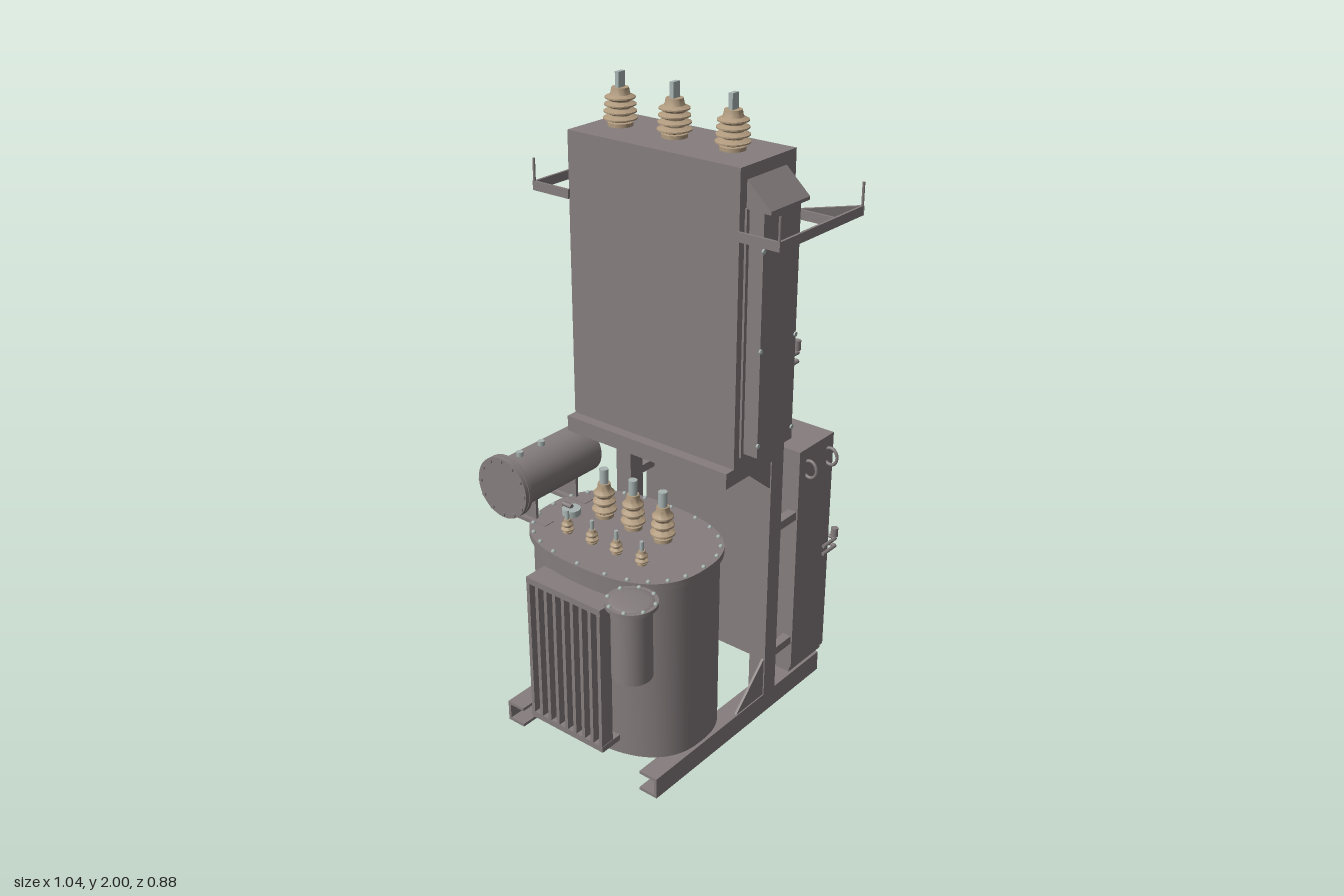
import * as THREE from 'three';
import { toCreasedNormals } from 'three/addons/utils/BufferGeometryUtils.js';

const mat = (name, color) => {
  const m = new THREE.MeshStandardMaterial({ color });
  m.name = name;
  return m;
};

export function createModel() {
  const root = new THREE.Group();
  root.name = 'transformerSubstation';
  const grey = mat('paintedGrey', 0x857d7e);
  const beige = mat('ceramicBeige', 0xb09a7e);
  const metal = mat('bareMetal', 0xa8b4b2);
  const yellow = mat('signYellow', 0xc4bb28);
  const black = mat('signBlack', 0x1e1e1e);

  const add = (name, geo, m, x = 0, y = 0, z = 0) => {
    const mesh = new THREE.Mesh(geo, m);
    mesh.name = name;
    mesh.position.set(x, y, z);
    root.add(mesh);
    return mesh;
  };
  // box given by its limits
  const box = (name, m, x0, x1, y0, y1, z0, z1) =>
    add(name, new THREE.BoxGeometry(x1 - x0, y1 - y0, z1 - z0), m, (x0 + x1) / 2, (y0 + y1) / 2, (z0 + z1) / 2);
  const cyl = (name, m, r, h, x, y, z, axis = 'y', seg = 24) => {
    const g = new THREE.CylinderGeometry(r, r, h, seg);
    if (axis === 'x') g.rotateZ(Math.PI / 2);
    if (axis === 'z') g.rotateX(Math.PI / 2);
    return add(name, g, m, x, y, z);
  };
  const poly = (pts) => new THREE.Shape(pts.map(([x, y]) => new THREE.Vector2(x, y)));
  const prism = (pts, depth) => new THREE.ExtrudeGeometry(poly(pts), { depth, bevelEnabled: false });
  // rod between two points
  const rod = (name, m, a, b, r) => {
    const p = new THREE.Vector3(...a), q = new THREE.Vector3(...b);
    const mesh = add(name, new THREE.CylinderGeometry(r, r, p.distanceTo(q), 8), m);
    mesh.position.copy(p).add(q).multiplyScalar(0.5);
    mesh.quaternion.setFromUnitVectors(new THREE.Vector3(0, 1, 0), q.sub(p).normalize());
    return mesh;
  };

  // frame: channel rails, posts, gussets, arms to the lower cabinet
  for (const s of [1, -1]) {
    const span = (name, x0, x1, y0, y1, a, b) =>
      box(name, grey, x0, x1, y0, y1, Math.min(s * a, s * b), Math.max(s * a, s * b));
    span('railWeb', -0.4, 0.45, 0, 0.07, 0.295, 0.305);
    span('railTopFlange', -0.4, 0.45, 0.06, 0.07, 0.24, 0.3);
    span('railBottomFlange', -0.4, 0.45, 0, 0.01, 0.24, 0.3);
    span('post', 0.14, 0.2, 0.07, 0.91, 0.245, 0.305);
    span('topBeam', -0.085, 0.2, 0.91, 0.96, 0.245, 0.305);
    for (const y of [0.185, 0.645]) span('cabinetArm', 0.18, 0.295, y, y + 0.028, 0.27, 0.3);
    const z = s * 0.297 - 0.004;
    add('lowerGusset', prism([[0, 0.07], [0.14, 0.07], [0.14, 0.205]], 0.008), grey, 0, 0, z);
    add('upperGusset', prism([[0.03, 0.91], [0.14, 0.82], [0.14, 0.91]], 0.008), grey, 0, 0, z);
  }
  box('rearCrossBeam', grey, -0.085, -0.03, 0.91, 0.96, -0.305, 0.305);
  box('frontCrossBeam', grey, 0.15, 0.2, 0.88, 0.96, -0.305, 0.305);

  // warning triangle, lock, latch and hinges on a door facing +x
  const doorDetails = (x, signY, lockY, lockZ, handleY, hingeZ, hingeYs) => {
    const tri = prism([[-0.085, 0], [0.085, 0], [0, 0.152]], 0.002).rotateY(Math.PI / 2);
    add('warningTriangle', tri, yellow, x, signY, 0);
    box('signBaseLine', black, x, x + 0.003, signY - 0.008, signY, -0.088, 0.088);
    box('signMark', black, x, x + 0.003, signY + 0.058, signY + 0.072, -0.003, 0.003);
    box('signTip', black, x, x + 0.003, signY + 0.145, signY + 0.154, -0.004, 0.004);
    const lock = cyl('lockPlate', metal, 0.02, 0.008, x + 0.002, lockY, lockZ, 'x');
    lock.scale.y = 1.25;
    for (const y of [handleY, handleY + 0.028]) {
      rod('latchBar', grey, [x + 0.012, y, 0.22], [x + 0.012, y, 0.31], 0.006);
      rod('latchArm', grey, [x + 0.012, y, 0.31], [x - 0.06, y, 0.31], 0.006);
    }
    cyl('latchKnob', grey, 0.012, 0.03, x + 0.012, handleY + 0.05, 0.305);
    for (const y of hingeYs) cyl('hinge', grey, 0.009, 0.08, x - 0.012, y, hingeZ, 'y', 10);
  };

  // upper cabinet with door
  box('upperCabinet', grey, -0.05, 0.205, 0.96, 1.845, -0.305, 0.305);
  box('upperCabinetFace', grey, 0.205, 0.212, 0.975, 1.83, -0.295, 0.295);
  box('upperDoor', grey, 0.212, 0.235, 1.05, 1.437, -0.248, 0.245);
  doorDetails(0.235, 1.172, 1.27, 0.208, 1.2, -0.258, [1.1, 1.37]);

  // cable duct with a sloping hood on the front of the upper cabinet
  box('cableDuct', grey, -0.015, 0.155, 1.0, 1.73, 0.305, 0.36);
  for (const x of [-0.015, 0.15]) {
    box('ductFlange', grey, x - 0.012, x + 0.015, 0.99, 1.73, 0.305, 0.312);
    for (const y of [1.04, 1.33, 1.62]) cyl('ductBolt', metal, 0.007, 0.006, x, y, 0.362, 'z', 8);
  }
  add('ductHood', prism([[-0.3, 1.812], [-0.385, 1.735], [-0.385, 1.725], [-0.3, 1.725]], 0.18)
    .rotateY(Math.PI / 2), grey, -0.02, 0, 0);

  // outrigger frames of flat bar with upright pins
  const bar = (x0, z0, x1, z1) => {
    const l = Math.hypot(x1 - x0, z1 - z0);
    const flat = add('outriggerBar', new THREE.BoxGeometry(l + 0.008, 0.028, 0.008), grey, (x0 + x1) / 2, 1.658, (z0 + z1) / 2);
    flat.rotation.y = -Math.atan2(z1 - z0, x1 - x0);
  };
  [[-0.05, 0.305, -0.05, 0.435], [-0.05, 0.435, 0.35, 0.435], [0.35, 0.435, 0.212, 0.31], [0.212, 0.305, 0.212, 0.435],
    [-0.055, -0.305, -0.055, -0.437], [-0.055, -0.437, 0.35, -0.437], [0.35, -0.437, 0.35, -0.023],
    [0.35, -0.023, 0.212, -0.023], [0.222, -0.437, 0.222, -0.31], [0.2, -0.315, 0.35, -0.315]].forEach((b) => bar(...b));
  for (const [x, z] of [[-0.05, 0.435], [0.35, 0.435], [-0.055, -0.437], [0.35, -0.437], [0.35, -0.023]])
    rod('outriggerPin', grey, [x, 1.65, z], [x, 1.74, z], 0.004);

  // ribbed insulator with equal discs; taper narrows the upper ones
  const insulator = (name, x, y, z, r, h, ribs, taper) => {
    const pts = [[0.001, 0], [r * 0.75, 0], [r * 0.75, h * 0.1]];
    for (let i = 0; i < ribs; i++) {
      const step = h * 0.72 / ribs, y0 = h * 0.12 + step * i, k = r * (1 - taper * i / ribs);
      pts.push([r * 0.6, y0], [k, y0 + step * 0.35], [k, y0 + step * 0.55], [r * 0.6, y0 + step * 0.9]);
    }
    pts.push([r * 0.56, h * 0.86], [r * 0.5, h], [0.001, h]);
    const g = new THREE.LatheGeometry(pts.map((p) => new THREE.Vector2(...p)), 24);
    add(name, toCreasedNormals(g, 0.6), beige, x, y, z);
  };
  for (const z of [-0.22, -0.022, 0.18]) {
    insulator('roofBushing', 0.082, 1.845, z, 0.05, 0.11, 4, 0.15);
    box('roofBushingLug', metal, 0.068, 0.096, 1.955, 2, z - 0.007, z + 0.007);
  }
  for (const z of [-0.125, -0.01, 0.105]) {
    insulator('lidBushing', -0.125, 0.69, z, 0.038, 0.115, 3, 0.2);
    cyl('lidBushingTerminal', metal, 0.014, 0.048, -0.125, 0.829, z, 'y', 12);
  }
  for (const z of [-0.145, -0.047, 0.048, 0.145]) {
    insulator('smallBushing', -0.27, 0.69, z, 0.02, 0.045, 2, 0.2);
    cyl('smallBushingTerminal', metal, 0.006, 0.03, -0.27, 0.75, z, 'y', 10);
  }

  // oil tank: rounded-oval wall and bolted lid
  const CX = -0.172;
  const oval = (a, b, n = 72) => Array.from({ length: n }, (_, i) => {
    const t = i / n * Math.PI * 2, c = Math.cos(t), s = Math.sin(t);
    return [a * Math.sign(c) * Math.abs(c) ** 0.8, b * Math.sign(s) * Math.abs(s) ** 0.8];
  });
  const slab = (name, a, b, y0, y1) =>
    add(name, toCreasedNormals(prism(oval(a, b), y1 - y0).rotateX(-Math.PI / 2), 0.6), grey, CX, y0, 0);
  slab('tankWall', 0.212, 0.295, 0.07, 0.668);
  slab('tankLid', 0.226, 0.305, 0.668, 0.69);
  for (const [x, z] of oval(0.216, 0.295, 24)) add('lidBolt', new THREE.SphereGeometry(0.007, 8, 6), metal, CX + x, 0.691, z);
  const plate = add('tankNameplate', new THREE.BoxGeometry(0.09, 0.075, 0.008), grey, -0.318, 0.3, -0.252);
  plate.rotation.y = Math.PI / 4;
  cyl('fillerDisc', metal, 0.029, 0.02, -0.18, 0.7, -0.212);
  rod('fillerStem', grey, [-0.18, 0.715, -0.21], [-0.18, 0.715, -0.245], 0.008);

  // cooling fins on the tank's outer side, joined by headers
  for (const y of [0.12, 0.6]) box('radiatorHeader', grey, -0.453, -0.375, y, y + 0.02, -0.147, 0.142);
  for (let i = 0; i < 9; i++) {
    const z = -0.14 + i * 0.0343;
    box('radiatorFin', grey, -0.453, -0.405, 0.13, 0.61, z - 0.006, z + 0.006);
  }

  // oil filter vessel beside the tank
  cyl('filterVessel', grey, 0.06, 0.237, -0.44, 0.5635, 0.25, 'y', 32);
  cyl('filterFlange', grey, 0.077, 0.012, -0.44, 0.686, 0.25, 'y', 32);
  add('filterDome', new THREE.SphereGeometry(0.066, 24, 6, 0, Math.PI * 2, 0, Math.PI / 2).scale(1, 0.12, 1), grey, -0.44, 0.691, 0.25);
  for (let i = 0; i < 8; i++) {
    const t = (i + 0.5) * Math.PI / 4;
    add('filterBolt', new THREE.SphereGeometry(0.007, 8, 6), metal, -0.44 + 0.07 * Math.cos(t), 0.692, 0.25 + 0.07 * Math.sin(t));
  }
  for (const y of [0.48, 0.615]) {
    rod('filterPipe', grey, [-0.44, y, 0.25], [-0.3, y, 0.2], 0.013);
    add('pipeValve', new THREE.SphereGeometry(0.018, 12, 8), grey, -0.37, y, 0.226);
  }

  // oil conservator drum lying above the tank
  cyl('conservatorDrum', grey, 0.079, 0.335, -0.168, 0.815, -0.323, 'x', 40);
  for (const x of [-0.352, -0.337]) cyl('conservatorFlange', grey, 0.099, 0.013, x, 0.815, -0.325, 'x', 40);
  for (let i = 0; i < 12; i++) {
    const t = i * Math.PI / 6;
    cyl('conservatorBolt', grey, 0.007, 0.036, -0.345, 0.815 + 0.089 * Math.cos(t), -0.325 + 0.089 * Math.sin(t), 'x', 8);
  }
  for (const x of [-0.28, -0.187]) cyl('conservatorPlug', metal, 0.011, 0.02, x, 0.898, -0.323, 'y', 10);
  for (const x of [-0.27, -0.09]) {
    box('conservatorFoot', grey, x - 0.02, x + 0.02, 0.68, 0.692, -0.37, -0.22);
    box('conservatorSaddle', grey, x - 0.005, x + 0.005, 0.685, 0.76, -0.36, -0.27);
  }

  // lower cabinet with door, foot strip and lifting hooks
  box('lowerCabinet', grey, 0.29, 0.475, 0.092, 0.88, -0.305, 0.305);
  box('lowerCabinetFoot', grey, 0.295, 0.475, 0.07, 0.092, -0.295, 0.295);
  box('lowerDoorSeal', grey, 0.475, 0.482, 0.12, 0.84, -0.288, 0.278);
  box('lowerDoor', grey, 0.482, 0.5, 0.125, 0.832, -0.285, 0.27);
  doorDetails(0.5, 0.368, 0.52, 0.23, 0.455, -0.292, [0.21, 0.74]);
  for (const x of [0.328, 0.442]) for (const s of [1, -1]) {
    const hook = add('liftingHook', new THREE.TorusGeometry(0.024, 0.005, 8, 20), grey, x, 0.812, s * 0.318);
    hook.rotation.y = Math.PI / 2;
    hook.scale.y = 1.2;
  }
  return root;
}
